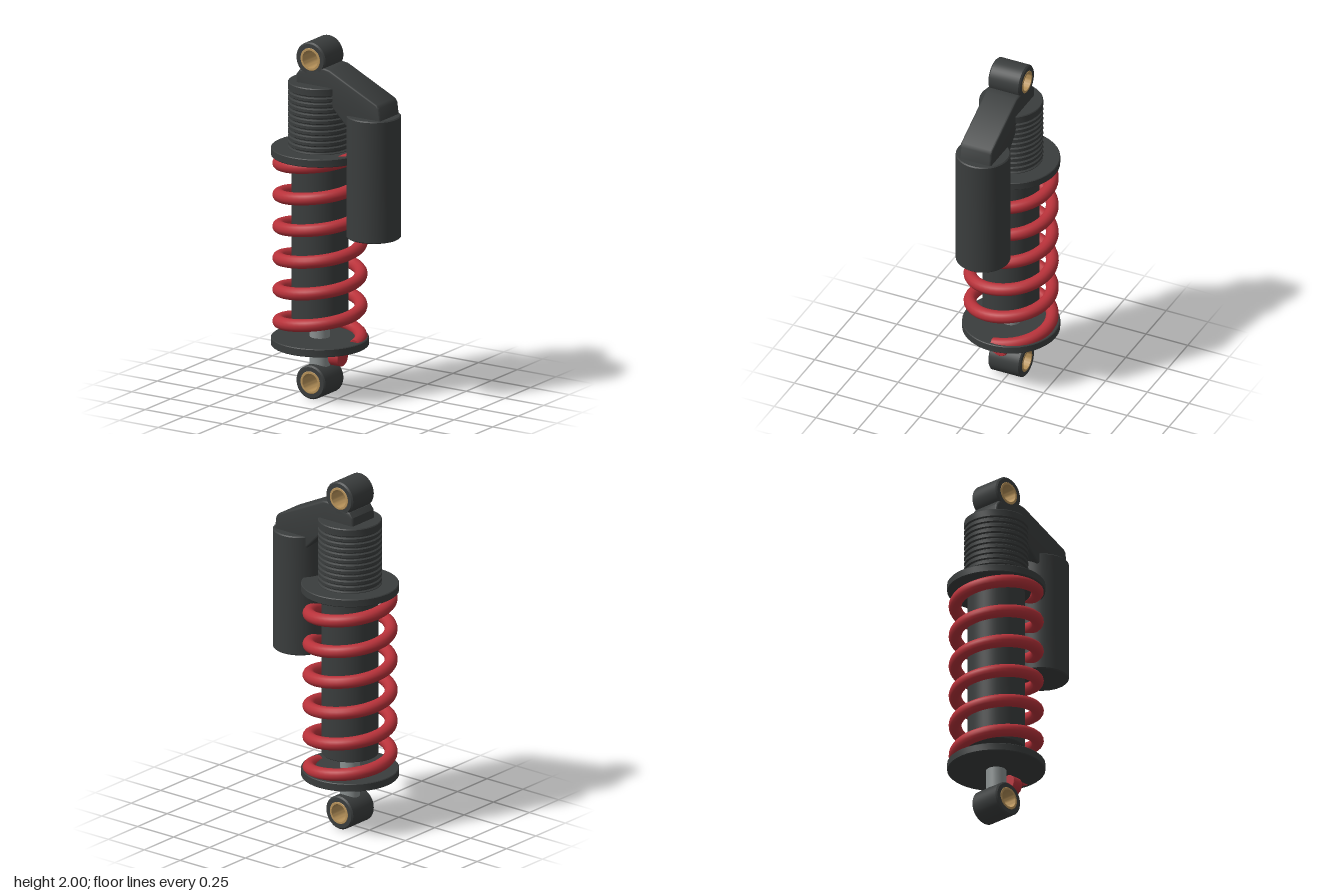
import * as THREE from 'three';
import { toCreasedNormals } from 'three/addons/utils/BufferGeometryUtils.js';

const AXIS = -0.115; // x of the damper axis
const mat = (color) => new THREE.MeshStandardMaterial({ color });

export function createModel() {
  const group = new THREE.Group();
  const dark = mat(0x3a3d3d), red = mat(0xb8323a), steel = mat(0x8a9090), brass = mat(0xb8935a);

  const add = (name, geometry, material, x = 0, y = 0, z = 0) => {
    const mesh = new THREE.Mesh(geometry, material);
    mesh.name = name;
    mesh.position.set(x, y, z);
    group.add(mesh);
    return mesh;
  };
  // Lathe from [radius, height] pairs, listed bottom to top along the outside
  const lathe = (pairs, segments = 40) => toCreasedNormals(
    new THREE.LatheGeometry(pairs.map(([r, y]) => new THREE.Vector2(r, y)), segments), 0.5);
  // Solid cylinder with a small chamfer c on both rims
  const drum = (r, y0, y1, c, segments) => lathe(
    [[0, y0], [r - c, y0], [r, y0 + c], [r, y1 - c], [r - c, y1], [0, y1]], segments);
  // Open sleeve with chamfered outer rims
  const sleeve = (inner, outer, half, c) => lathe(
    [[inner, -half], [outer - c, -half], [outer, -half + c], [outer, half - c],
      [outer - c, half], [inner, half], [inner, -half]]);

  // Damper body and rod
  add('damperBody', drum(0.154, 0.415, 1.45, 0.004), dark, AXIS);
  add('damperRod', drum(0.055, 0.17, 0.5, 0.002, 32), steel, AXIS);

  // Threaded collar with narrow grooves
  const thread = [[0, 1.38], [0.173, 1.38]];
  const pitch = 0.031;
  for (let i = 0; i < 11; i++) {
    const y = 1.4 + i * pitch;
    thread.push([0.173, y], [0.164, y + 0.006], [0.164, y + 0.01], [0.173, y + 0.016]);
  }
  thread.push([0.173, 1.762], [0.169, 1.767], [0, 1.767]);
  add('threadedCollar', lathe(thread), dark, AXIS);

  // Spring perches
  add('upperPerch', drum(0.265, 1.352, 1.397, 0.004), dark, AXIS);
  add('lowerPerch', drum(0.265, 0.288, 0.333, 0.004), dark, AXIS);

  // Coil spring: six turns, rising from the +x side
  class Helix extends THREE.Curve {
    getPoint(t, target = new THREE.Vector3()) {
      const a = t * 6 * Math.PI * 2;
      return target.set(0.222 * Math.cos(a), 0.312 + 1.065 * t, -0.222 * Math.sin(a));
    }
  }
  const helix = new Helix();
  add('coilSpring', new THREE.TubeGeometry(helix, 288, 0.035, 14), red, AXIS);
  for (const t of [0, 1]) {
    const cap = add('springEnd', new THREE.CircleGeometry(0.035, 14), red);
    cap.position.copy(helix.getPoint(t)).x += AXIS;
    const outward = helix.getTangent(t).multiplyScalar(t ? 1 : -1);
    cap.quaternion.setFromUnitVectors(new THREE.Vector3(0, 0, 1), outward);
  }

  // Mounting eyes with brass bushings
  for (const [name, y] of [['upper', 1.907], ['lower', 0.094]]) {
    add(name + 'Eye', sleeve(0.062, 0.094, 0.095, 0.008), dark, AXIS, y).rotation.x = Math.PI / 2;
    add(name + 'Bushing', sleeve(0.05, 0.064, 0.097, 0.003), brass, AXIS, y).rotation.x = Math.PI / 2;
  }

  // Reservoir
  add('reservoir', drum(0.148, 0.945, 1.63, 0.006), dark, 0.232);

  // Bridge joining the upper eye, collar and reservoir
  const b = 0.01;
  const profile = new THREE.Shape([
    [-0.2, 1.74], [-0.197, 1.81], [-0.18, 1.832], [-0.03, 1.86], [0.005, 1.855], [0.305, 1.709],
    [0.316, 1.695], [0.328, 1.61], [0.125, 1.575], [0.115, 1.578], [0.04, 1.655], [0.0, 1.7],
  ].map(([x, y]) => new THREE.Vector2(x, y)));
  const bridge = new THREE.ExtrudeGeometry(profile, {
    depth: 0.19 - 2 * b, bevelThickness: b, bevelSize: b, bevelSegments: 3,
  });
  add('reservoirBridge', toCreasedNormals(bridge, 0.6), dark, 0, 0, -0.095 + b);

  // Rebound adjuster knob beside the rod
  add('adjusterKnob', drum(0.052, -0.033, 0.033, 0.003, 16), red, 0.001, 0.238).rotation.z = Math.PI / 2;

  return group;
}
